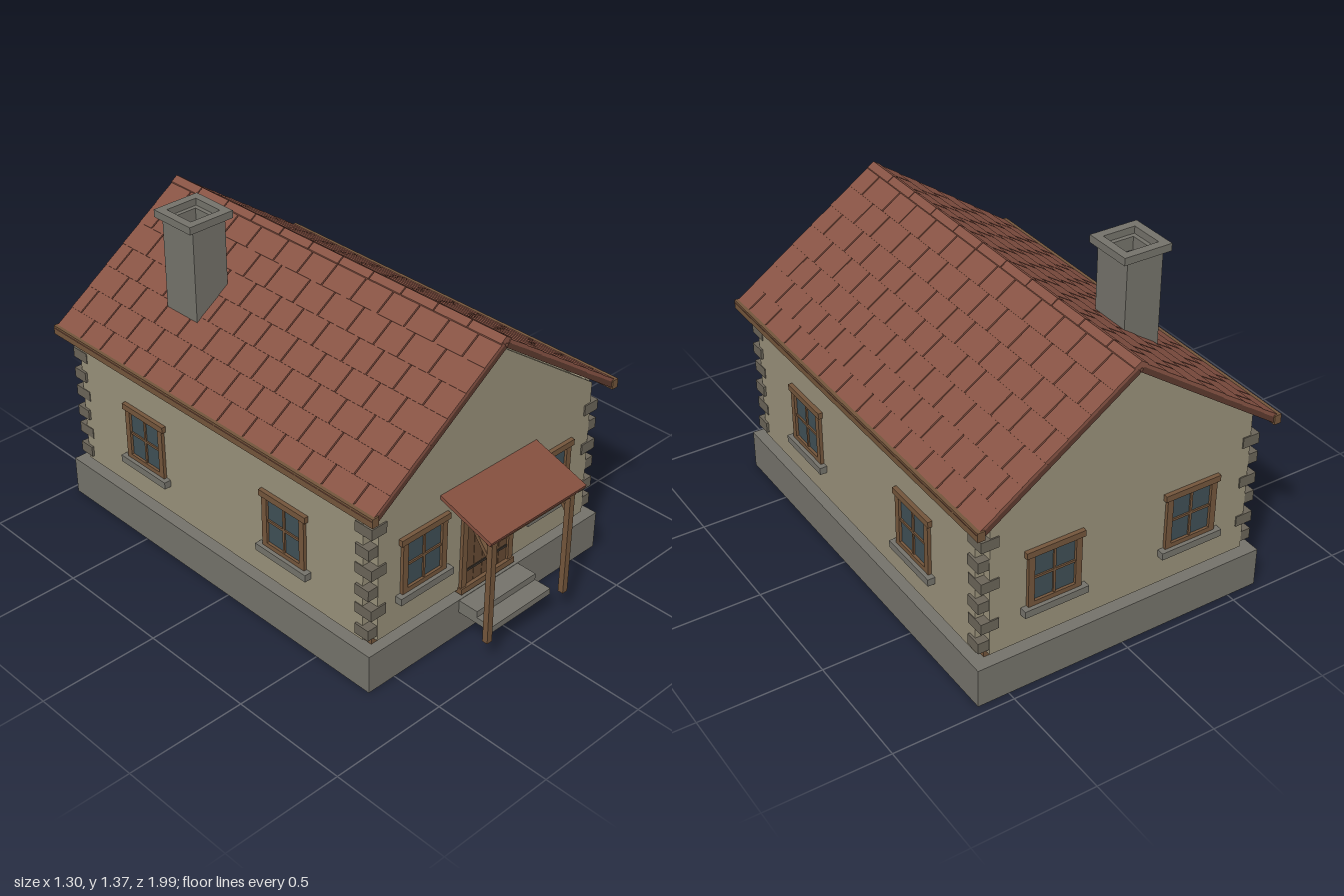
import * as THREE from 'three';

const mat = (color) => new THREE.MeshStandardMaterial({ color, flatShading: true });
const M = {
  stone: mat(0x74726a), quoin: mat(0x6a6458), wall: mat(0x989079), wood: mat(0x73553b),
  darkWood: mat(0x664a33), tile: mat(0x875344), deck: mat(0x5c3a2e), canopy: mat(0x834e3e),
  glass: mat(0x3f4f55), iron: mat(0x3a332c), soot: mat(0x24282b),
};
const Z0 = -0.093; // middle of the house along z

export function createModel() {
  const house = new THREE.Group();
  house.name = 'cottage';

  // box given by its ranges on each axis
  const box = (parent, name, m, [x0, x1], [y0, y1], [z0, z1]) => {
    const mesh = new THREE.Mesh(new THREE.BoxGeometry(x1 - x0, y1 - y0, z1 - z0), m);
    mesh.position.set((x0 + x1) / 2, (y0 + y1) / 2, (z0 + z1) / 2);
    mesh.name = name;
    parent.add(mesh);
    return mesh;
  };
  const group = (name, parent = house) => {
    const g = new THREE.Group();
    g.name = name;
    parent.add(g);
    return g;
  };
  const extrude = (parent, name, m, shape, depth) => {
    const mesh = new THREE.Mesh(new THREE.ExtrudeGeometry(shape, { depth, bevelEnabled: false }), m);
    mesh.name = name;
    parent.add(mesh);
    return mesh;
  };
  const polygon = (pts) => new THREE.Shape(pts.map(([x, y]) => new THREE.Vector2(x, y)));

  // Foundation and sill beam
  box(house, 'foundation', M.stone, [-0.63, 0.63], [0, 0.165], [-0.965, 0.775]);
  box(house, 'sillBeam', M.wood, [-0.573, 0.573], [0.165, 0.19], [-0.912, 0.728]);

  // Gable walls and side walls
  const gable = polygon([[-0.565, 0.19], [0.565, 0.19], [0.565, 0.79], [0, 1.185], [-0.565, 0.79]]);
  extrude(house, 'frontWall', M.wall, gable, 0.04).position.z = 0.71;
  extrude(house, 'backWall', M.wall, gable, 0.04).position.z = -0.937;
  for (const s of [-1, 1]) {
    const x = [0.565 * s, 0.6 * s].sort((a, b) => a - b);
    box(house, 'sideWall', M.wall, x, [0.19, 0.785], [-0.9, 0.71]);
  }

  // Corner stones, alternating long and short
  const corners = group('cornerStones');
  for (const sx of [-1, 1]) for (const sz of [-1, 1]) for (let i = 0; i < 6; i++) {
    const odd = i % 2 === 0;
    const w = odd ? 0.088 : 0.074, d = odd ? 0.068 : 0.084;
    const cx = sx * 0.566, cz = Z0 + sz * 0.807, y = 0.211 + i * 0.089;
    box(corners, 'cornerStone', M.quoin, [cx - w / 2, cx + w / 2], [y, y + 0.045], [cz - d / 2, cz + d / 2]);
  }

  // Windows: local z = 0 is the wall face, +z points outwards
  const addWindow = (x, z, turn) => {
    const w = group('window');
    box(w, 'glass', M.glass, [-0.09, 0.09], [0.36, 0.565], [-0.015, 0.003]);
    for (const s of [-1, 1]) {
      const c = s * 0.1;
      box(w, 'frameSide', M.wood, [c - 0.013, c + 0.013], [0.345, 0.565], [-0.015, 0.014]);
    }
    box(w, 'frameTop', M.wood, [-0.124, 0.124], [0.562, 0.588], [-0.015, 0.018]);
    box(w, 'frameBottom', M.wood, [-0.113, 0.113], [0.343, 0.363], [-0.015, 0.014]);
    box(w, 'mullion', M.wood, [-0.005, 0.005], [0.36, 0.565], [-0.01, 0.009]);
    box(w, 'transom', M.wood, [-0.09, 0.09], [0.457, 0.467], [-0.01, 0.009]);
    box(w, 'windowSill', M.stone, [-0.136, 0.136], [0.314, 0.344], [-0.02, 0.03]);
    w.position.set(x, 0, z);
    w.rotation.y = turn;
  };
  for (const s of [-1, 1]) {
    addWindow(s * 0.34, 0.75, 0);
    addWindow(s * 0.3, -0.937, Math.PI);
    for (const z of [0.307, -0.497]) addWindow(s * 0.6, z, s * Math.PI / 2);
  }

  // Plank door
  const door = group('door');
  for (let i = 0; i < 5; i++) {
    const x = -0.115 + i * 0.046;
    box(door, 'doorPlank', M.darkWood, [x + 0.001, x + 0.045], [0.2, 0.553], [0.735, 0.755]);
  }
  box(door, 'doorBacking', M.iron, [-0.115, 0.115], [0.2, 0.553], [0.735, 0.752]);
  for (const s of [-1, 1]) box(door, 'doorJamb', M.wood, [s * 0.128 - 0.013, s * 0.128 + 0.013], [0.2, 0.553], [0.735, 0.764]);
  box(door, 'doorLintel', M.wood, [-0.148, 0.148], [0.553, 0.582], [0.735, 0.766]);
  box(door, 'threshold', M.wood, [-0.146, 0.146], [0.175, 0.2], [0.735, 0.77]);
  for (const y of [0.265, 0.505]) box(door, 'hingeStrap', M.iron, [-0.113, 0.113], [y - 0.005, y + 0.005], [0.75, 0.759]);
  box(door, 'doorHandle', M.iron, [0.085, 0.093], [0.345, 0.392], [0.75, 0.768]);

  // Steps
  box(house, 'upperStep', M.stone, [-0.163, 0.163], [0.135, 0.163], [0.76, 0.865]);
  box(house, 'lowerStep', M.stone, [-0.163, 0.163], [0.108, 0.135], [0.76, 0.94]);

  // Porch: sloping canopy on braced posts
  const porch = group('porch');
  const canopyTilt = Math.atan2(0.085, 0.26);
  const canopy = box(porch, 'canopyRoof', M.canopy, [-0.257, 0.257], [0.619, 0.635], [0.732, 1.0]);
  canopy.rotation.x = canopyTilt;
  box(porch, 'porchBeam', M.wood, [-0.23, 0.23], [0.553, 0.582], [0.949, 0.973]);
  for (const s of [-1, 1]) {
    const x = s * 0.211;
    box(porch, 'porchPost', M.wood, [x - 0.013, x + 0.013], [0.11, 0.587], [0.949, 0.973]);
    const brace = box(porch, 'porchBrace', M.wood, [x - 0.009, x + 0.009], [0.455, 0.615], [0.904, 0.92]);
    brace.rotation.x = -Math.atan2(0.095, 0.12);
  }

  // Roof slopes: deck with staggered courses of tiles
  let seed = 7;
  const rnd = () => (seed = (seed * 16807) % 2147483647) / 2147483647;
  const pitch = Math.atan(0.694), length = 0.767, rows = 7, front = 0.8, back = -0.988;
  for (const s of [-1, 1]) {
    const slope = group('roofSlope');
    slope.position.y = 1.195;
    slope.rotation.z = -s * pitch;
    const along = (a, b) => (s > 0 ? [a, b] : [-b, -a]);
    box(slope, 'roofDeck', M.deck, along(0, length), [0, 0.021], [back, front]);
    const course = length / rows;
    for (let r = 0; r < rows; r++) {
      let z = back;
      let next = back + (r % 2 ? 0.07 : 0.14);
      while (z < front - 0.001) {
        const end = next > front - 0.05 ? front : next + (rnd() - 0.5) * 0.03;
        const z1 = end === front ? front : end - 0.006;
        const tile = box(slope, 'roofTile', M.tile, along(r * course, (r + 1) * course + 0.002), [0.02, 0.034], [z, z1]);
        tile.rotation.z = s * 0.02;
        z = end;
        next += 0.14;
      }
    }
    // Eave board along the lower edge
    const ex = s * 0.635;
    box(house, 'eaveBoard', M.wood, [ex - 0.015, ex + 0.015], [0.758, 0.796], [-0.995, 0.806]);
  }

  // Ridge caps in a row
  const cap = polygon([[-0.028, 1.196], [0, 1.213], [0.028, 1.196], [0.028, 1.221], [0, 1.24], [-0.028, 1.221]]);
  const ridge = group('ridge');
  const caps = 11, pitchZ = (front + 0.002 - back) / caps;
  for (let i = 0; i < caps; i++) {
    extrude(ridge, 'ridgeCap', M.tile, cap, pitchZ - 0.005).position.z = back + i * pitchZ;
  }

  // Hollow chimney with a projecting rim
  const chimney = group('chimney');
  chimney.position.set(-0.323, 0, -0.484);
  const ring = (name, w, d, hole, y0, y1) => {
    const rect = (a, b) => [[-a, -b], [a, -b], [a, b], [-a, b]];
    const shape = polygon(rect(w / 2, d / 2));
    shape.holes.push(polygon(rect(hole / 2, hole / 2).reverse()));
    const mesh = extrude(chimney, name, M.stone, shape, y1 - y0);
    mesh.rotation.x = -Math.PI / 2;
    mesh.position.y = y0;
  };
  ring('chimneyShaft', 0.157, 0.177, 0.105, 0.88, 1.345);
  ring('chimneyRim', 0.208, 0.21, 0.14, 1.343, 1.374);
  box(chimney, 'flue', M.soot, [-0.053, 0.053], [0.89, 1.29], [-0.053, 0.053]);

  return house;
}
